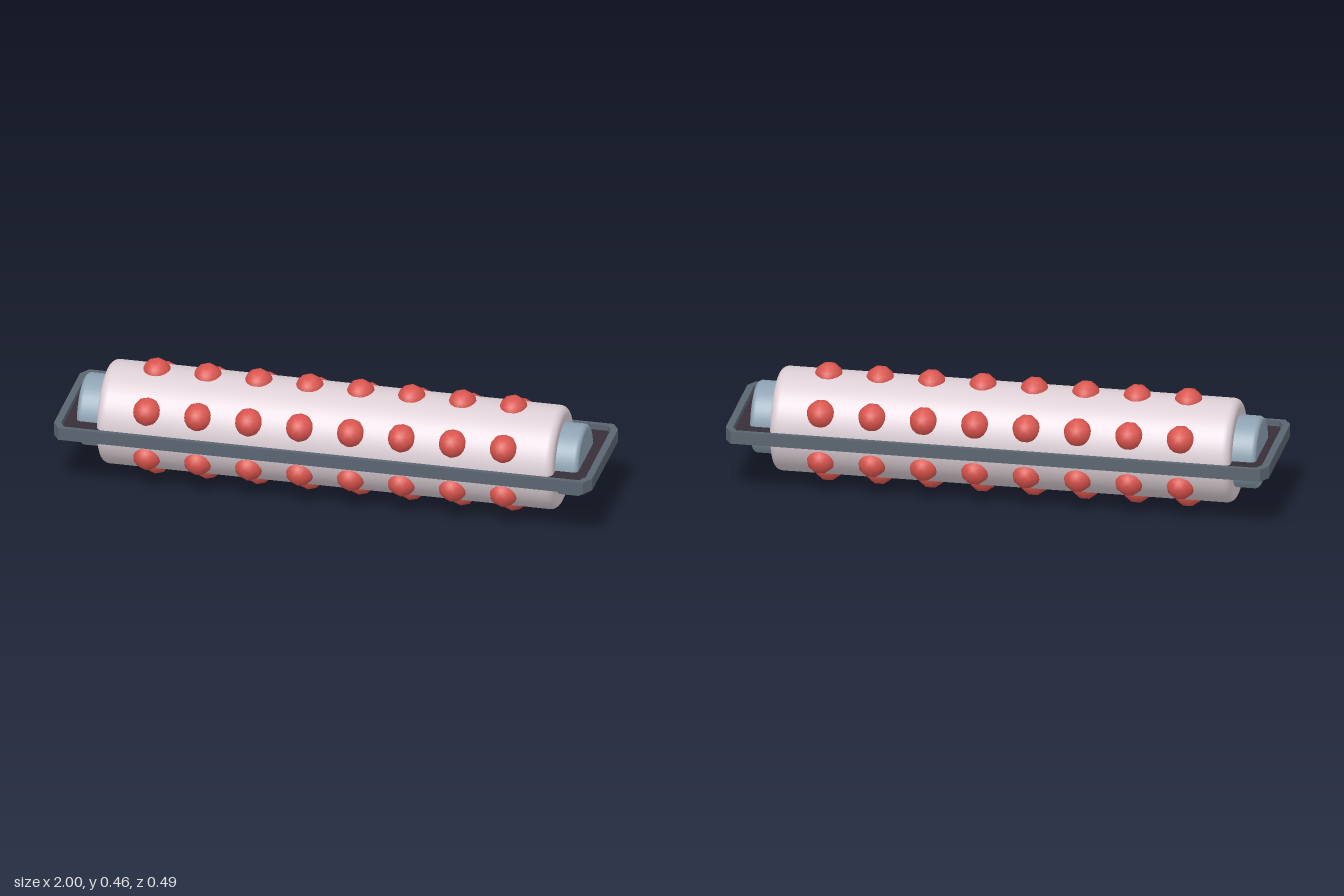
import * as THREE from 'three';

const material = (name, color) => {
  const m = new THREE.MeshStandardMaterial({ color });
  m.name = name;
  return m;
};

const AXIS_Y = 0.229; // height of the roller axis

// Solid of revolution along x with rounded ends
function roundedCylinder(radius, half, round) {
  const pts = [new THREE.Vector2(0, -half), new THREE.Vector2(radius - round - 0.004, -half)];
  const arc = (from, cy) => {
    for (let i = 0; i <= 6; i++) {
      const a = from + (i / 6) * Math.PI / 2;
      pts.push(new THREE.Vector2(radius - round + Math.cos(a) * round, cy + Math.sin(a) * round));
    }
  };
  arc(-Math.PI / 2, -half + round);
  pts.push(new THREE.Vector2(radius, -half + round + 0.004));
  pts.push(new THREE.Vector2(radius, half - round - 0.004));
  arc(0, half - round);
  pts.push(new THREE.Vector2(radius - round - 0.004, half), new THREE.Vector2(0, half));
  return new THREE.LatheGeometry(pts, 48).rotateZ(-Math.PI / 2);
}

// Rectangle with chamfered corners
function outline(x, z, cx, cz) {
  return [[x - cx, -z], [x, -z + cz], [x, z - cz], [x - cx, z],
    [-x + cx, z], [-x, z - cz], [-x, -z + cz], [-x + cx, -z]].map(([a, b]) => new THREE.Vector2(a, b));
}

// Flat outline raised from y0 to y1
function slab(shape, y0, y1) {
  return new THREE.ExtrudeGeometry(shape, { depth: y1 - y0, bevelEnabled: false })
    .rotateX(-Math.PI / 2).translate(0, y0, 0);
}

export function createModel() {
  const group = new THREE.Group();
  group.name = 'studdedRoller';
  const pale = material('palePink', 0xdccfd5);
  const blue = material('steelBlue', 0x8ea2b2);
  const slate = material('slate', 0x5b6571);
  const dark = material('darkPlum', 0x372f39);
  const red = material('red', 0xda544d);

  const add = (name, geometry, mat, parent = group) => {
    const mesh = new THREE.Mesh(geometry, mat);
    mesh.name = name;
    parent.add(mesh);
    return mesh;
  };

  // Roller body and the narrower core sticking out at both ends
  add('roller', roundedCylinder(0.19, 0.8475, 0.03), pale).position.set(-0.0025, AXIS_Y, 0);
  add('core', roundedCylinder(0.132, 0.932, 0.018), blue).position.set(-0.004, AXIS_Y, 0);

  // Shallow tray around the middle: base, raised rim, dark floor
  const outer = outline(1, 0.246, 0.025, 0.04);
  const inner = outline(0.974, 0.229, 0.018, 0.03);
  const rim = new THREE.Shape(outer);
  rim.holes.push(new THREE.Path(inner));
  add('trayBase', slab(new THREE.Shape(outer), 0.2145, 0.236), slate);
  add('trayRim', slab(rim, 0.236, 0.2615), slate);
  add('trayFloor', slab(new THREE.Shape(inner), 0.236, 0.24), dark);

  // Six rows of eight studs
  const studs = new THREE.Group();
  studs.name = 'studs';
  group.add(studs);
  const stud = new THREE.IcosahedronGeometry(0.054, 1).rotateX(Math.atan((1 + Math.sqrt(5)) / 2));
  for (let row = 0; row < 6; row++) {
    const a = Math.PI / 6 + row * Math.PI / 3;
    for (let i = 0; i < 8; i++) {
      add('stud', stud, red, studs).position.set(
        -0.003 + (i - 3.5) * 0.1893, AXIS_Y + Math.sin(a) * 0.175, Math.cos(a) * 0.175);
    }
  }
  return group;
}
